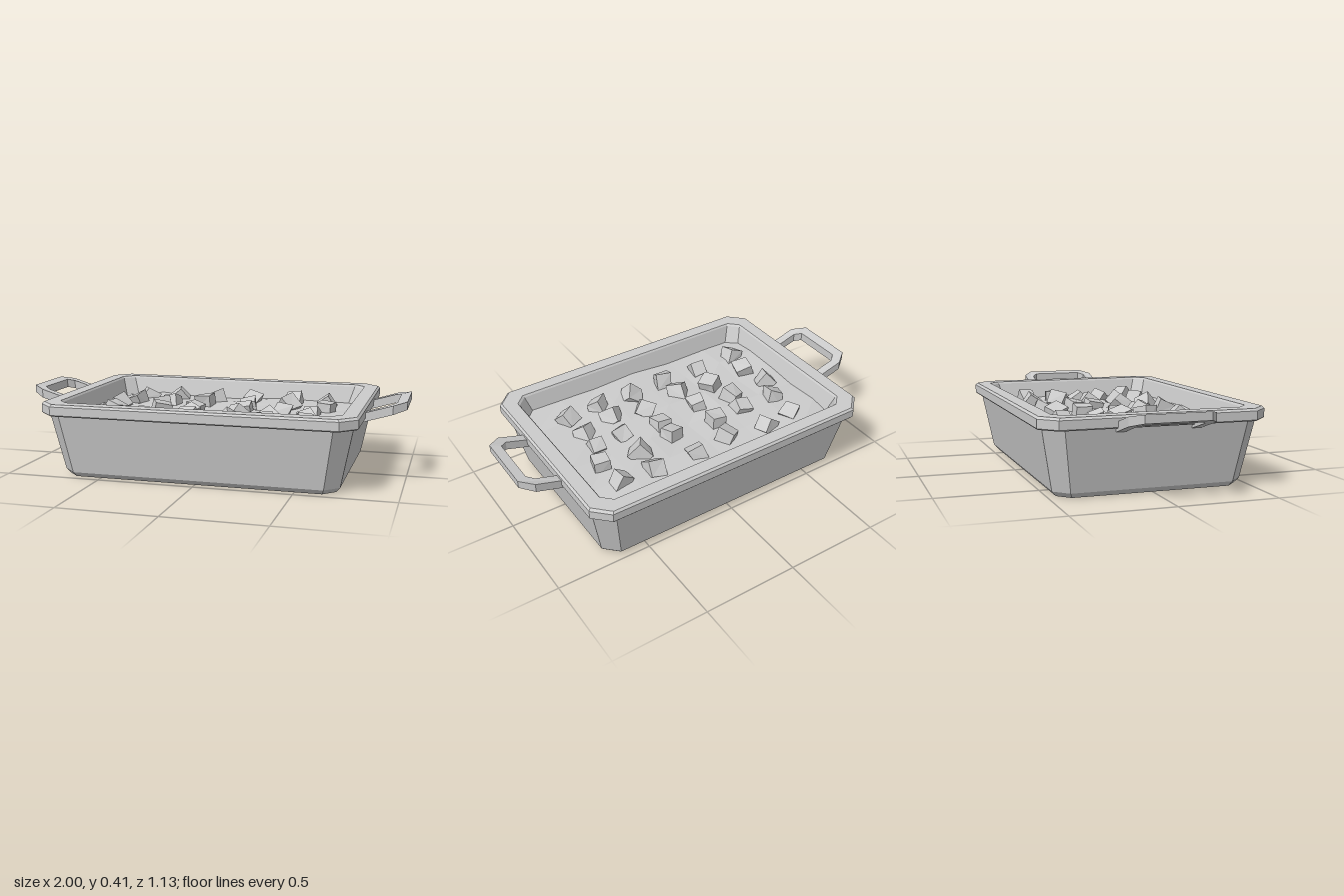
import * as THREE from 'three';

export function createModel() {
  const grey = new THREE.MeshStandardMaterial({ name: 'plainGrey', color: 0xcccccc, flatShading: true });
  const root = new THREE.Group();
  root.name = 'bakingDish';

  let seed = 7;
  const rand = () => (seed = (seed * 16807) % 2147483647) / 2147483647;

  const add = (name, geometry, parent = root) => {
    const mesh = new THREE.Mesh(geometry, grey);
    mesh.name = name;
    parent.add(mesh);
    return mesh;
  };

  // Rectangle with cut corners at height y, counter-clockwise seen from above
  const octagon = ([y, hx, hz, c]) => [
    [hx, y, hz - c], [hx, y, c - hz], [hx - c, y, -hz], [c - hx, y, -hz],
    [-hx, y, c - hz], [-hx, y, hz - c], [c - hx, y, hz], [hx - c, y, hz],
  ];

  // Skin stacked octagons, with an optional cap under the first
  function loft(sections, capBottom) {
    const loops = sections.map(octagon);
    const pos = [];
    const tri = (a, b, c) => pos.push(...a, ...b, ...c);
    for (let i = 0; i < loops.length - 1; i++) {
      for (let j = 0; j < 8; j++) {
        const k = (j + 1) % 8;
        const [a, b, c, d] = [loops[i][j], loops[i][k], loops[i + 1][k], loops[i + 1][j]];
        tri(a, b, c);
        tri(a, c, d);
      }
    }
    if (capBottom) for (let j = 1; j < 7; j++) tri(loops[0][0], loops[0][j + 1], loops[0][j]);
    const g = new THREE.BufferGeometry();
    g.setAttribute('position', new THREE.Float32BufferAttribute(pos, 3));
    g.computeVertexNormals();
    return g;
  }

  // Tapered body: y, half width, half depth, corner cut
  add('body', loft([
    [0, 0.695, 0.455, 0.06],
    [0.025, 0.715, 0.477, 0.07],
    [0.33, 0.777, 0.535, 0.085],
  ], true));

  // Overhanging rim, running on into the inner walls
  add('rim', loft([
    [0.327, 0.765, 0.525, 0.08],
    [0.327, 0.797, 0.559, 0.08],
    [0.333, 0.803, 0.564, 0.08],
    [0.376, 0.803, 0.564, 0.08],
    [0.387, 0.793, 0.554, 0.078],
    [0.387, 0.722, 0.486, 0.052],
    [0.377, 0.715, 0.479, 0.052],
    [0.25, 0.677, 0.443, 0.055],
  ]));

  // Uneven food surface
  const filling = new THREE.PlaneGeometry(1.4, 0.93, 6, 5).rotateX(-Math.PI / 2);
  const p = filling.attributes.position;
  for (let i = 0; i < p.count; i++) p.setY(i, 0.288 + (rand() - 0.5) * 0.025);
  filling.computeVertexNormals();
  add('filling', filling);

  // Rough chunks in five loose rows, as x, z pairs in hundredths
  const rows = [
    [-51, -31, -33, -34, -10, -30, 10, -33, 35, -32, 53, -30],
    [-52, -15, -31, -14, -13, -17, 13, -13, 34, -17, 55, -14],
    [-57, -1, -33, -3, -13, 1, 13, -3, 34, 1, 50, 0],
    [-54, 15, -29, 12, -11, 17, 13, 13, 31, 17, 50, 13],
    [-56, 30, -32, 29, -9, 30, 12, 28, 33, 29, 52, 28],
  ];
  const chunks = new THREE.Group();
  chunks.name = 'chunks';
  root.add(chunks);

  // Lopsided block: shared corners shift together so it stays closed
  function chunkGeometry() {
    const g = new THREE.BoxGeometry(0.088, 0.088, 0.088);
    const q = g.attributes.position;
    const moved = new Map();
    for (let i = 0; i < q.count; i++) {
      const key = [q.getX(i), q.getY(i), q.getZ(i)].map(Math.sign).join();
      if (!moved.has(key)) moved.set(key, 0.8 + rand() * 0.28);
      const s = moved.get(key);
      q.setXYZ(i, q.getX(i) * s, q.getY(i) * s, q.getZ(i) * s);
    }
    g.computeVertexNormals();
    return g;
  }
  for (const row of rows) {
    for (let i = 0; i < row.length; i += 2) {
      const chunk = add('chunk', chunkGeometry(), chunks);
      chunk.position.set(row[i] / 100, 0.292 + rand() * 0.012, row[i + 1] / 100);
      chunk.rotation.set(rand() * 6, rand() * 6, rand() * 6);
    }
  }

  // Loop handles on both ends, slanting up to a level outer edge
  const outline = [
    [0.75, -0.21], [0.935, -0.21], [1, -0.16], [1, 0.16], [0.935, 0.21], [0.75, 0.21],
    [0.75, 0.163], [0.915, 0.163], [0.949, 0.135], [0.949, -0.135], [0.915, -0.163], [0.75, -0.163],
  ];
  const handle = new THREE.ExtrudeGeometry(
    new THREE.Shape(outline.map(([x, y]) => new THREE.Vector2(x, y))),
    { depth: 0.045, bevelEnabled: false },
  ).rotateX(-Math.PI / 2);
  const h = handle.attributes.position;
  for (let i = 0; i < h.count; i++) {
    h.setY(i, Math.min(0.415, 0.3 + h.getY(i) + 0.3 * (h.getX(i) - 0.75)));
  }
  handle.computeVertexNormals();
  add('leftHandle', handle);
  add('rightHandle', handle).rotation.y = Math.PI;

  return root;
}
